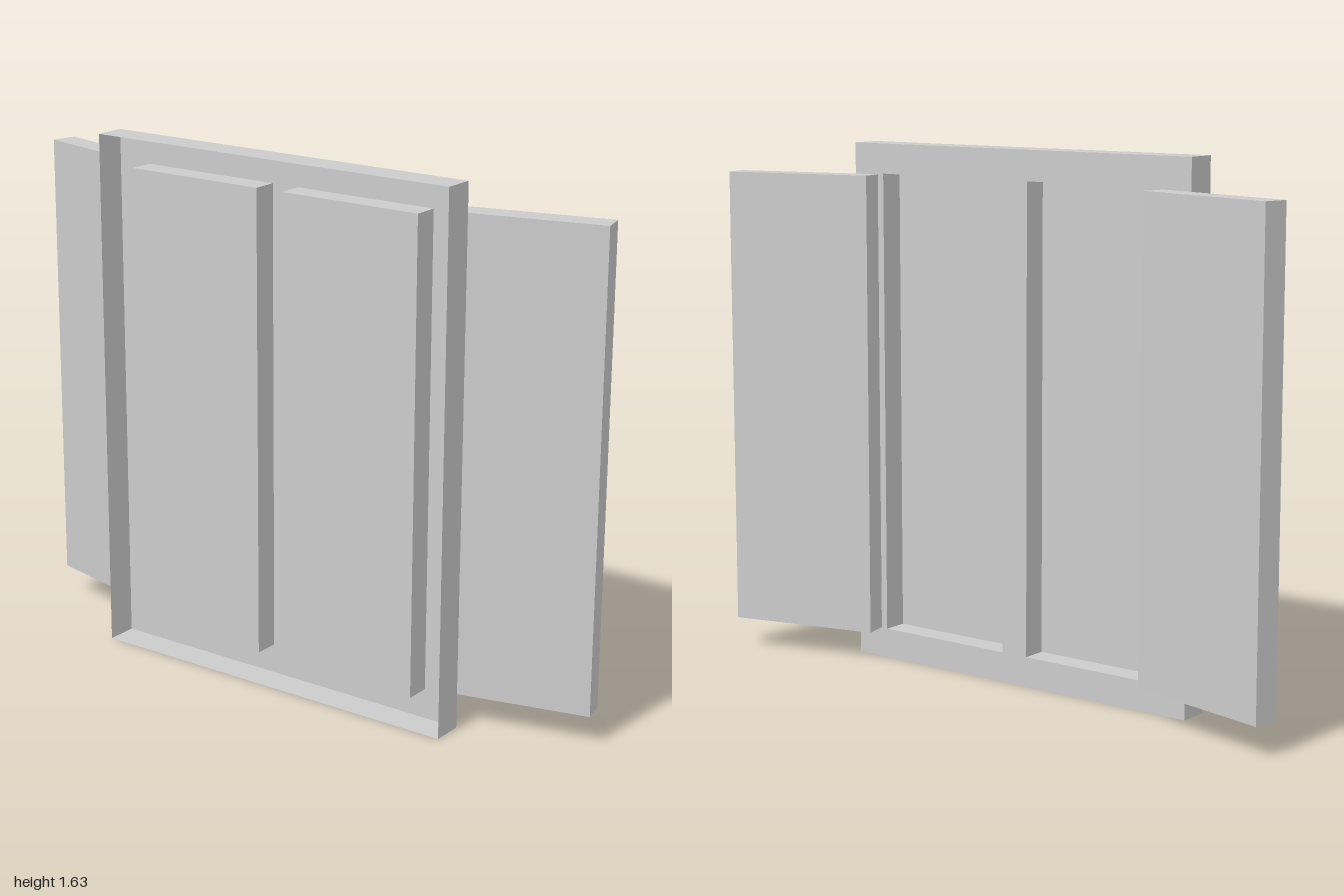
import * as THREE from 'three';
import { mergeGeometries } from 'three/addons/utils/BufferGeometryUtils.js';

const solid = new THREE.MeshStandardMaterial({ color: 0xcccccc, flatShading: true });
const sheet = new THREE.MeshStandardMaterial({ color: 0xcccccc, flatShading: true, side: THREE.DoubleSide });

const FRONT = -0.05, BACK = -0.147, PANE = -0.128;
const W = 1.245, H = 1.63;
const OPEN_W = 0.465, OPEN_H = 1.445, OPEN_Z = 0.278;

function mesh(name, geometry, material) {
  const m = new THREE.Mesh(geometry, material);
  m.name = name;
  return m;
}

// Four thin walls around a w (z) by h (y) rectangle, running from x0 to x1
function walls(w, h, x0, x1) {
  const d = x1 - x0, cx = (x0 + x1) / 2;
  const parts = [];
  for (const s of [-1, 1]) {
    parts.push(new THREE.PlaneGeometry(d, h).rotateY(s > 0 ? 0 : Math.PI).translate(cx, 0, s * w / 2));
    parts.push(new THREE.PlaneGeometry(d, w).rotateX(-s * Math.PI / 2).translate(cx, s * h / 2, 0));
  }
  return mergeGeometries(parts);
}

function rectangle(path, cx, w, h) {
  path.moveTo(cx - w / 2, -h / 2);
  path.lineTo(cx + w / 2, -h / 2);
  path.lineTo(cx + w / 2, h / 2);
  path.lineTo(cx - w / 2, h / 2);
  path.closePath();
  return path;
}

export function createModel() {
  const model = new THREE.Group();
  model.name = 'shutteredWindow';

  // Frame: face plate with two openings and an outer rim, open behind
  const frame = new THREE.Group();
  frame.name = 'frame';
  frame.position.y = H / 2;
  const face = rectangle(new THREE.Shape(), 0, W, H);
  for (const s of [-1, 1]) face.holes.push(rectangle(new THREE.Path(), s * OPEN_Z, OPEN_W, OPEN_H));
  const plate = new THREE.ShapeGeometry(face).rotateY(Math.PI / 2).translate(FRONT, 0, 0);
  frame.add(mesh('framePlate', plate, sheet));
  frame.add(mesh('frameRim', walls(W, H, BACK, FRONT), sheet));
  model.add(frame);

  for (const s of [-1, 1]) {
    const side = s > 0 ? 'Front' : 'Back';

    // Recessed pane with its reveal
    const recess = new THREE.Group();
    recess.name = 'window' + side;
    recess.position.set(0, H / 2, s * OPEN_Z);
    recess.add(mesh('reveal' + side, walls(OPEN_W, OPEN_H, PANE, FRONT), sheet));
    const pane = new THREE.PlaneGeometry(OPEN_W, OPEN_H).rotateY(Math.PI / 2).translate(PANE, 0, 0);
    recess.add(mesh('pane' + side, pane, sheet));
    model.add(recess);

    // Shutter swung slightly outward
    const shutter = mesh('shutter' + side, new THREE.BoxGeometry(0.078, 1.44, 0.483), solid);
    shutter.position.set(0.047, H / 2, s * 0.756);
    shutter.rotation.y = s * THREE.MathUtils.degToRad(13.5);
    model.add(shutter);
  }
  return model;
}
